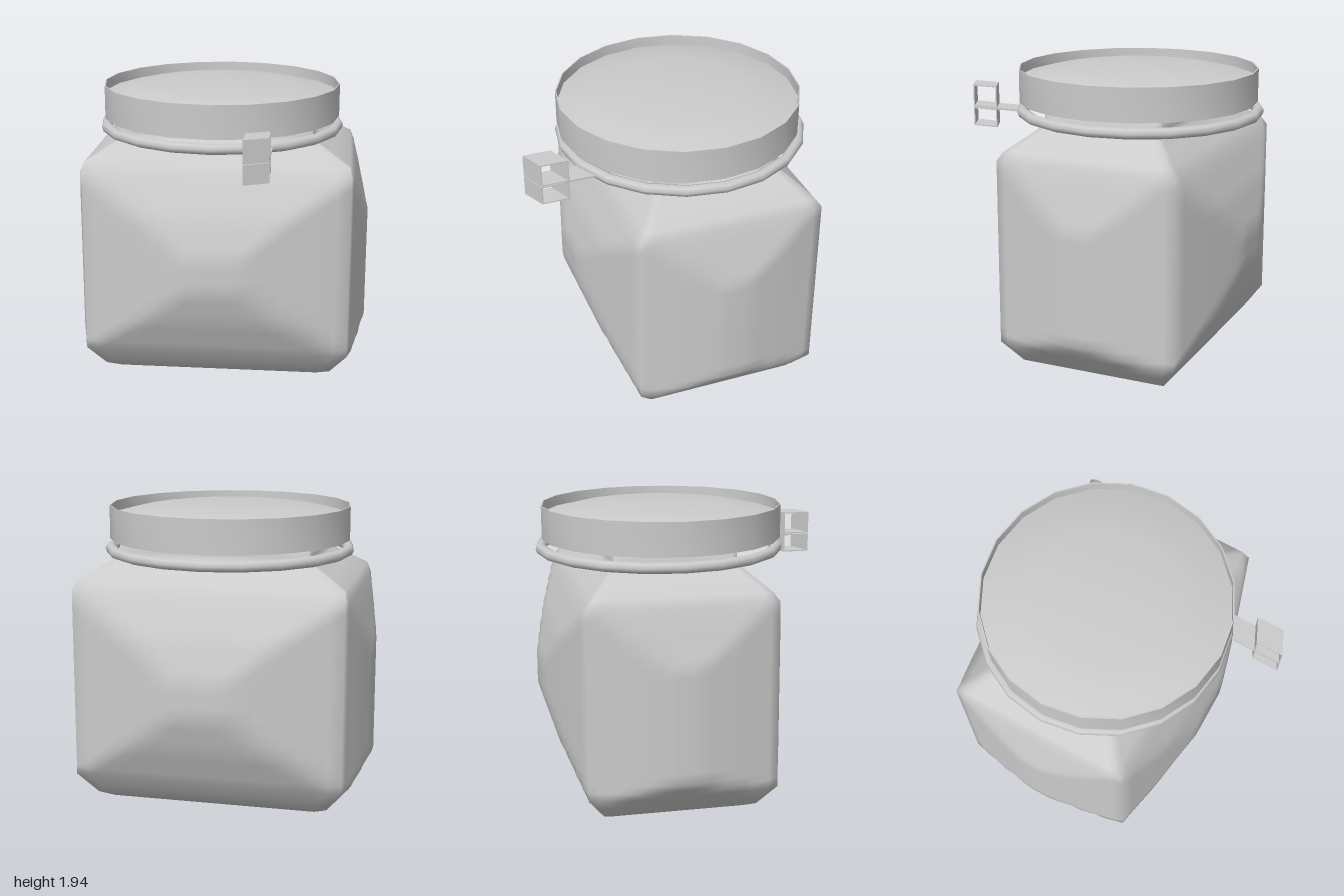
import * as THREE from 'three';
import { toCreasedNormals } from 'three/addons/utils/BufferGeometryUtils.js';

const grey = new THREE.MeshStandardMaterial({ color: 0xcccccc, side: THREE.DoubleSide });

function add(group, name, geometry, x = 0, y = 0, z = 0) {
  const mesh = new THREE.Mesh(geometry, grey);
  mesh.name = name;
  mesh.position.set(x, y, z);
  group.add(mesh);
  return mesh;
}

// Linear lookup in a list of [position, value] pairs
function lookup(table, t) {
  if (t <= table[0][0]) return table[0][1];
  for (let i = 1; i < table.length; i++) {
    const [t0, v0] = table[i - 1], [t1, v1] = table[i];
    if (t <= t1) return v0 + (v1 - v0) * (t - t0) / (t1 - t0);
  }
  return table[table.length - 1][1];
}

// Half width and half depth of the jar at its corners, by height
const halfX = [[0, 0.68], [0.045, 0.77], [0.2, 0.88], [1.43, 0.88], [1.49, 0.87], [1.62, 0.65], [1.66, 0.62], [1.74, 0.62]];
const halfZ = [[0, 0.435], [0.045, 0.505], [0.2, 0.615], [1.43, 0.61], [1.49, 0.565], [1.62, 0.41], [1.66, 0.395], [1.74, 0.395]];
// Bulge of the faces by height, and by distance from the middle of the face
const frontByY = [[0.2, 0], [0.45, 0.12], [0.69, 0.2], [0.93, 0.2], [1.18, 0.12], [1.43, 0]];
const frontByU = [[0.22, 0.2], [0.43, 0.15], [0.64, 0.1], [1, 0]];
const sideByY = [[0.04, 0], [0.2, 0.04], [0.31, 0.12], [1.06, 0.12], [1.2, 0.08], [1.3, 0.055], [1.49, 0]];
const sideByU = [[0.15, 0.12], [0.56, 0.07], [1, 0]];

// Square jar with swelling faces, lofted from rectangular sections
function jarGeometry() {
  const levels = [0, 0.02, 0.045, 0.12, 0.2, 0.255, 0.31, 0.38, 0.45, 0.53, 0.61, 0.69, 0.77, 0.85, 0.93, 1,
    1.06, 1.12, 1.18, 1.24, 1.3, 1.36, 1.43, 1.49, 1.56, 1.62, 1.66, 1.74];
  const steps = 20, ring = steps * 4, pos = [], index = [];
  for (const y of levels) {
    const hx = lookup(halfX, y), hz = lookup(halfZ, y);
    for (let j = 0; j < ring; j++) {
      const face = Math.floor(j / steps), u = (j % steps) / steps * 2 - 1;
      const sign = face < 2 ? 1 : -1;
      if (face % 2 === 0) {
        const bulge = Math.min(lookup(frontByY, y), lookup(frontByU, Math.abs(u)));
        pos.push(sign * u * hx, y, sign * (hz + bulge));
      } else {
        const bulge = Math.min(lookup(sideByY, y), lookup(sideByU, Math.abs(u)));
        pos.push(sign * (hx + bulge), y, -sign * u * hz);
      }
    }
  }
  const last = (levels.length - 1) * ring;
  const bottom = pos.length / 3;
  pos.push(0, 0, 0, 0, levels[levels.length - 1], 0);
  for (let j = 0; j < ring; j++) {
    const k = (j + 1) % ring;
    for (let a = 0; a < last; a += ring) {
      index.push(a + j, a + k, a + ring + k, a + j, a + ring + k, a + ring + j);
    }
    index.push(bottom, k, j, bottom + 1, last + j, last + k);
  }
  const g = new THREE.BufferGeometry();
  g.setAttribute('position', new THREE.Float32BufferAttribute(pos, 3));
  g.setIndex(index);
  g.computeVertexNormals();
  return g;
}

// Thin-walled square loop, open along x and skewed
function loopGeometry(width, depth, height, wall) {
  const rect = (P, w, h) => new P([[-w, -h], [w, -h], [w, h], [-w, h]].map(([x, y]) => new THREE.Vector2(x, y)));
  const shape = rect(THREE.Shape, depth / 2, height / 2);
  shape.holes.push(rect(THREE.Path, depth / 2 - wall, height / 2 - wall));
  const g = new THREE.ExtrudeGeometry(shape, { depth: width, bevelEnabled: false });
  g.translate(0, 0, -width / 2).rotateY(Math.PI / 2);
  return skew(g);
}

function skew(g) {
  g.applyMatrix4(new THREE.Matrix4().set(1, 0, 0, 0, 0, 1, 0, 0, -0.45, 0, 1, 0, 0, 0, 0, 1));
  g.computeVertexNormals();
  return g;
}

export function createModel() {
  const model = new THREE.Group();
  model.name = 'jar';

  add(model, 'jarBody', jarGeometry(), 0, 0, -0.16);

  // Lid with a raised rim around a shallow dome
  const profile = [[0, 1.72], [0.8, 1.72], [0.8, 1.94], [0.792, 1.94], [0.79, 1.87], [0.62, 1.912], [0.45, 1.935], [0, 1.935]]
    .map(([x, y]) => new THREE.Vector2(x, y));
  add(model, 'lid', toCreasedNormals(new THREE.LatheGeometry(profile, 20), 0.6), -0.015, 0, -0.135);

  // Cord around the neck
  const cord = new THREE.TorusGeometry(0.792, 0.036, 8, 20).rotateX(Math.PI / 2);
  add(model, 'cord', cord, -0.015, 1.655, -0.15);

  // Tag hanging from the cord: two stacked loops and a strap
  const tag = new THREE.Group();
  tag.name = 'tag';
  tag.position.set(0.298, 0, 0);
  add(tag, 'upperLoop', loopGeometry(0.155, 0.18, 0.15, 0.008), 0, 1.725, 0.857);
  add(tag, 'lowerLoop', loopGeometry(0.155, 0.18, 0.125, 0.008), 0, 1.5825, 0.857);
  add(tag, 'strap', skew(new THREE.BoxGeometry(0.155, 0.012, 0.2)), 0, 1.649, 0.685);
  model.add(tag);

  return model;
}
